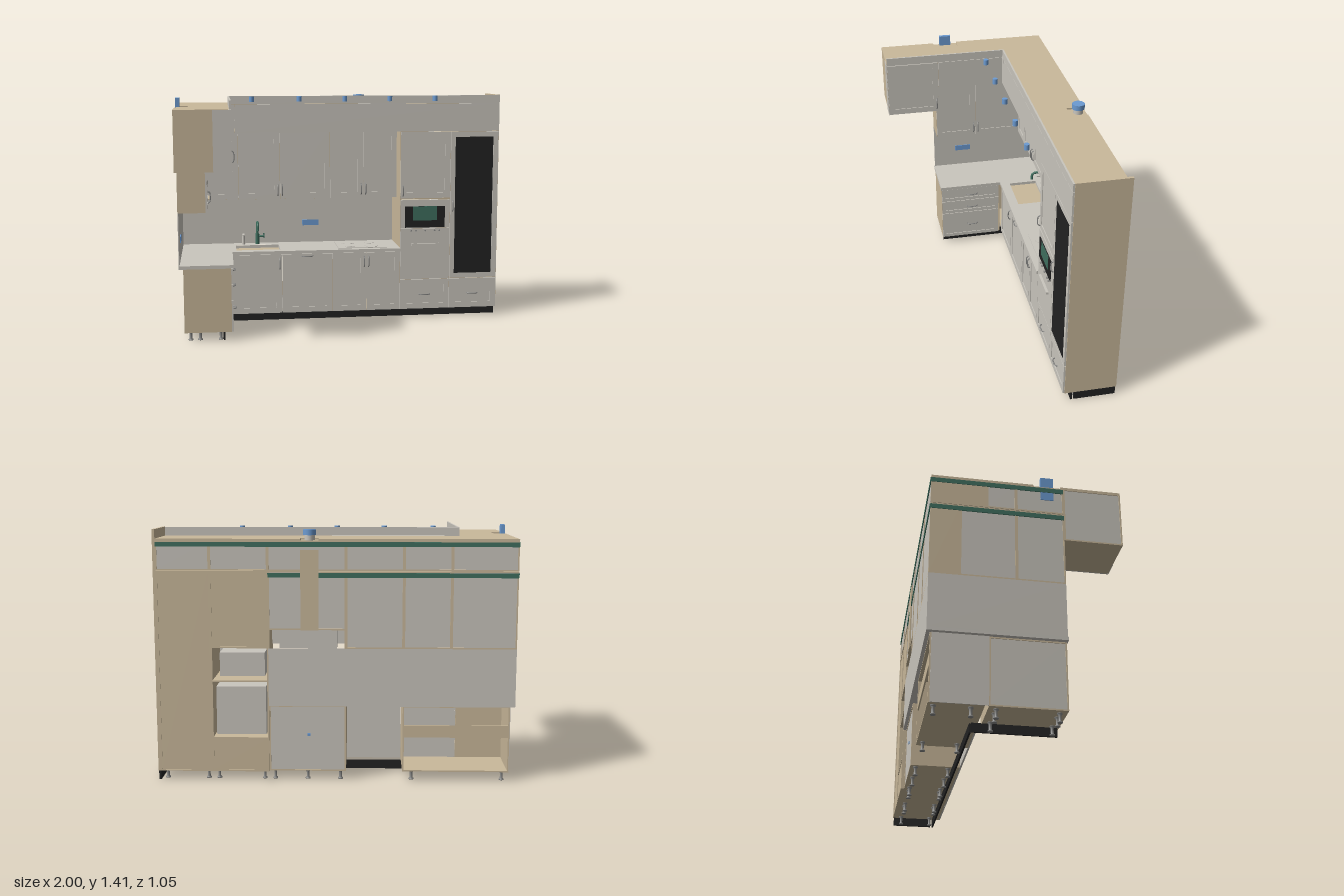
import * as THREE from 'three';

const mat = (name, color) => {
  const m = new THREE.MeshStandardMaterial({ color });
  m.name = name;
  return m;
};
const paint = mat('grey paint', 0xcac6be);
const wood = mat('light wood', 0xcab99b);
const black = mat('black', 0x222222);
const blue = mat('blue fittings', 0x6c9bd2);
const green = mat('dark green', 0x3f6f5f);
const metal = mat('metal', 0x8c8c8a);

function add(parent, name, geo, m, x = 0, y = 0, z = 0) {
  const mesh = new THREE.Mesh(geo, m);
  mesh.name = name;
  mesh.position.set(x, y, z);
  parent.add(mesh);
  return mesh;
}

// Box given by its limits on each axis
function box(parent, name, m, x0, x1, y0, y1, z0, z1) {
  return add(parent, name, new THREE.BoxGeometry(x1 - x0, y1 - y0, z1 - z0), m,
    (x0 + x1) / 2, (y0 + y1) / 2, (z0 + z1) / 2);
}

// Flat slab from plan points [x, z], with optional rectangular hole
function slab(parent, name, m, pts, y0, y1, hole) {
  const v = (p) => p.map(([x, z]) => new THREE.Vector2(x, -z));
  const shape = new THREE.Shape(v(pts));
  if (hole) shape.holes.push(new THREE.Path(v(hole)));
  const geo = new THREE.ExtrudeGeometry(shape, { depth: y1 - y0, bevelEnabled: false });
  geo.rotateX(-Math.PI / 2);
  add(parent, name, geo, m, 0, y0, 0);
}

// Bow handle
const bow = new THREE.CatmullRomCurve3([[-0.035, 0], [-0.027, 0.013], [0, 0.016], [0.027, 0.013], [0.035, 0]]
  .map(([x, z]) => new THREE.Vector3(x, 0, z)));
const bowGeo = new THREE.TubeGeometry(bow, 12, 0.0035, 6);
function handle(parent, x, y, z, vertical) {
  const h = add(parent, 'handle', bowGeo, metal, x, y, z);
  if (vertical) h.rotation.z = Math.PI / 2;
}

// Framed door or drawer front with recessed panel; z is its back plane
function front(parent, name, x0, x1, y0, y1, z, w = 0.035, panel = paint) {
  const g = 0.0015, W = x1 - x0 - 2 * g, H = y1 - y0 - 2 * g;
  const rect = (C, a, b) => {
    const s = new C();
    s.moveTo(-a, -b); s.lineTo(a, -b); s.lineTo(a, b); s.lineTo(-a, b); s.closePath();
    return s;
  };
  const s = rect(THREE.Shape, W / 2, H / 2);
  s.holes.push(rect(THREE.Path, W / 2 - w, H / 2 - w));
  const cx = (x0 + x1) / 2, cy = (y0 + y1) / 2;
  add(parent, name + 'Frame', new THREE.ExtrudeGeometry(s, { depth: 0.01, bevelEnabled: false }), paint, cx, cy, z);
  box(parent, name + 'Panel', panel, x0 + w, x1 - w, y0 + w, y1 - w, z, z + 0.005);
}

// Cabinet carcass, with optional inset back panel
function carcass(parent, name, x0, x1, y0, y1, z0, z1, back) {
  const t = 0.008, g = new THREE.Group();
  g.name = name;
  parent.add(g);
  box(g, 'side', wood, x0, x0 + t, y0, y1, z0, z1);
  box(g, 'side', wood, x1 - t, x1, y0, y1, z0, z1);
  box(g, 'bottom', wood, x0 + t, x1 - t, y0, y0 + t, z0, z1);
  box(g, 'top', wood, x0 + t, x1 - t, y1 - t, y1, z0, z1);
  if (back) box(g, 'back', back, x0 + t, x1 - t, y0 + t, y1 - t, z0 + 0.004, z0 + 0.008);
  return g;
}

const legGeo = new THREE.LatheGeometry([[0, 0], [0.014, 0], [0.014, 0.006], [0.008, 0.01], [0.008, 0.042], [0.014, 0.045], [0.014, 0.052]]
  .map(([r, y]) => new THREE.Vector2(r, y)), 12);

export function createModel() {
  const kitchen = new THREE.Group();
  kitchen.name = 'kitchen';
  const main = new THREE.Group();
  main.name = 'mainRun';
  // Side run: local x is -z, local z is x
  const side = new THREE.Group();
  side.name = 'sideRun';
  side.rotation.y = Math.PI / 2;
  kitchen.add(main, side);

  // Main base cabinets
  const corner = carcass(main, 'sinkCabinet', -0.975, -0.378, 0.052, 0.43, -0.5, -0.22);
  box(corner, 'backRail', wood, -0.967, -0.386, 0.25, 0.32, -0.5, -0.492);
  carcass(main, 'hobCabinet', -0.06, 0.37, 0.052, 0.43, -0.5, -0.22, paint);
  const baseX = [-0.69, -0.378, -0.06, 0.155, 0.37];
  for (let i = 0; i < 4; i++) front(main, 'baseDoor', baseX[i], baseX[i + 1], 0.052, 0.428, -0.22);
  [-0.392, 0.14, 0.168].forEach((x) => handle(main, x, 0.37, -0.21, true));
  handle(main, -0.22, 0.413, -0.21);

  // Main wall cabinets
  const wallX = [-1, -0.64, -0.378, -0.06, 0.37];
  for (let i = 0; i < 4; i++)
    carcass(main, 'wallCabinet', wallX[i], wallX[i + 1], i === 3 ? 0.86 : 0.757, 1.185, -0.52, -0.36, paint);
  const doorX = [-0.82, -0.64, -0.378, -0.06, 0.155, 0.37];
  for (let i = 0; i < 5; i++) front(main, 'wallDoor', doorX[i], doorX[i + 1], 0.757, 1.185, -0.36);
  [-0.392, -0.364, 0.14, 0.168].forEach((x) => handle(main, x, 0.815, -0.35, true));
  box(main, 'hood', paint, -0.01, 0.31, 0.752, 0.86, -0.48, -0.365);
  box(main, 'hoodDuctCasing', wood, 0.09, 0.19, 0.86, 1.3, -0.525, -0.44);
  [-0.06, 0.362].forEach((x) => box(main, 'hoodCheek', wood, x, x + 0.008, 0.757, 0.86, -0.52, -0.36));

  // Top row of the main run
  const topX = [-1, -0.64, -0.378, -0.06, 0.37, 0.69, 0.985];
  for (let i = 0; i < 6; i++)
    carcass(main, 'topCabinet', topX[i], topX[i + 1], 1.187, 1.352, -0.52, -0.22, paint);
  box(main, 'topFascia', paint, -0.658, 0.998, 1.187, 1.36, -0.22, -0.21);
  box(main, 'topFascia', paint, -0.69, -0.661, 1.187, 1.36, -0.22, -0.21);
  box(main, 'cornice', paint, -0.69, 0.998, 1.362, 1.41, -0.22, -0.21);

  // Oven column
  carcass(main, 'columnDrawerBox', 0.37, 0.69, 0.052, 0.25, -0.52, -0.22, wood);
  carcass(main, 'columnUpper', 0.37, 0.69, 0.757, 1.185, -0.52, -0.22, wood);
  [0.37, 0.682].forEach((x) => box(main, 'columnSide', wood, x, x + 0.008, 0.25, 0.757, -0.52, -0.22));
  box(main, 'columnShelf', wood, 0.378, 0.682, 0.567, 0.575, -0.52, -0.22);
  box(main, 'ovenBody', paint, 0.39, 0.67, 0.255, 0.53, -0.47, -0.22);
  box(main, 'microwaveBody', paint, 0.4, 0.655, 0.58, 0.715, -0.42, -0.22);
  box(main, 'ovenFront', paint, 0.372, 0.688, 0.247, 0.572, -0.22, -0.21);
  box(main, 'ovenHandle', paint, 0.44, 0.62, 0.463, 0.478, -0.21, -0.195);
  for (const x of [0.44, 0.47, 0.53, 0.59, 0.62])
    add(main, 'ovenKnob', new THREE.CylinderGeometry(0.005, 0.005, 0.01, 10).rotateX(Math.PI / 2), metal, x, 0.56, -0.206);
  box(main, 'microwaveSurround', paint, 0.372, 0.688, 0.575, 0.755, -0.22, -0.21);
  box(main, 'microwaveFront', black, 0.4, 0.655, 0.58, 0.715, -0.21, -0.205);
  box(main, 'microwaveScreen', green, 0.45, 0.605, 0.625, 0.715, -0.205, -0.203);
  front(main, 'columnDoor', 0.37, 0.69, 0.765, 1.185, -0.22);
  handle(main, 0.385, 0.815, -0.21, true);
  front(main, 'columnDrawer', 0.37, 0.69, 0.052, 0.245, -0.22);
  handle(main, 0.53, 0.148, -0.21);

  // Tall unit with dark inset and end panel
  carcass(main, 'tallCabinet', 0.69, 0.985, 0.052, 1.185, -0.52, -0.22, wood);
  front(main, 'tallDoor', 0.69, 0.998, 0.247, 1.185, -0.22, 0.033, black);
  box(main, 'tallInset', black, 0.72, 0.96, 0.28, 1.15, -0.212, -0.209);
  handle(main, 0.705, 0.715, -0.21, true);
  front(main, 'tallDrawer', 0.69, 0.998, 0.052, 0.245, -0.22);
  handle(main, 0.84, 0.148, -0.21);
  box(main, 'endPanel', wood, 0.985, 1, 0.052, 1.412, -0.52, -0.22);

  // Side run base with three drawers
  carcass(side, 'drawerCabinet', -0.2, 0.2, 0.052, 0.43, -0.975, -0.7, paint);
  box(side, 'cornerBack', paint, 0.2, 0.492, 0.052, 0.43, -0.979, -0.975);
  [0.052, 0.24, 0.335].forEach((y, i) => {
    const y1 = [0.24, 0.335, 0.428][i];
    front(side, 'drawer', -0.2, 0.19, y, y1, -0.7, 0.022);
    handle(side, 0.005, [0.148, 0.288, 0.383][i], -0.69);
  });

  // Side run wall cabinets
  [[-0.2, 0.06], [0.06, 0.36]].forEach(([a, b]) => {
    carcass(side, 'sideWallCabinet', a, b, 0.757, 1.185, -1, -0.84, paint);
    front(side, 'sideWallDoor', a, b, 0.757, 1.185, -0.84);
    carcass(side, 'sideTopCabinet', a, Math.min(b, 0.22), 1.187, 1.352, -1, -0.7, paint);
  });
  [0.045, 0.075].forEach((x) => handle(side, x, 0.815, -0.83, true));
  box(side, 'sideFascia', paint, -0.198, 0.22, 1.187, 1.36, -0.7, -0.69);
  box(side, 'sideCornice', paint, -0.52, 0.22, 1.362, 1.41, -0.7, -0.69);
  carcass(side, 'endWallCabinet', -0.52, -0.2, 1.025, 1.352, -1, -0.7, paint);
  front(side, 'endWallDoor', -0.52, -0.2, 1.025, 1.36, -0.7);
  handle(side, -0.215, 1.08, -0.69, true);
  box(side, 'endFiller', paint, -0.523, -0.52, 1.025, 1.36, -0.79, -0.69);

  // Roof board with service notches
  slab(kitchen, 'roofBoard', wood, [[-1, -0.52], [0.09, -0.52], [0.09, -0.42], [0.19, -0.42], [0.19, -0.52],
    [0.985, -0.52], [0.985, -0.22], [-0.7, -0.22], [-0.7, 0.52], [-1, 0.52], [-1, 0.185], [-0.93, 0.185],
    [-0.93, 0.035], [-1, 0.035]], 1.352, 1.361);

  // Worktop, sink and hob
  slab(kitchen, 'worktop', paint, [[-1, -0.52], [0.37, -0.52], [0.37, -0.2], [-0.685, -0.2], [-0.685, 0.205], [-1, 0.205]],
    0.43, 0.45, [[-0.66, -0.44], [-0.385, -0.44], [-0.385, -0.26], [-0.66, -0.26]]);
  box(kitchen, 'sinkFloor', paint, -0.665, -0.38, 0.36, 0.365, -0.445, -0.255);
  [-0.665, -0.385].forEach((x) => box(kitchen, 'sinkWall', paint, x, x + 0.005, 0.365, 0.448, -0.445, -0.255));
  [-0.445, -0.26].forEach((z) => box(kitchen, 'sinkWall', paint, -0.66, -0.385, 0.365, 0.448, z, z + 0.005));
  add(kitchen, 'sinkDrain', new THREE.CylinderGeometry(0.018, 0.018, 0.004, 16), metal, -0.52, 0.367, -0.35);
  box(kitchen, 'hob', paint, -0.02, 0.29, 0.45, 0.454, -0.47, -0.24);
  [[0.06, -0.41, 0.045], [0.06, -0.3, 0.033], [0.2, -0.41, 0.033], [0.2, -0.3, 0.045]].forEach(([x, z, r]) =>
    add(kitchen, 'hobRing', new THREE.CylinderGeometry(r, r, 0.002, 24), paint, x, 0.455, z));

  // Tap and soap dispenser
  const spout = new THREE.CatmullRomCurve3([[0.45, -0.475], [0.56, -0.475], [0.592, -0.46], [0.597, -0.42], [0.59, -0.385], [0.55, -0.378]]
    .map(([y, z]) => new THREE.Vector3(-0.52, y, z)));
  add(kitchen, 'tapSpout', new THREE.TubeGeometry(spout, 28, 0.008, 10), green);
  add(kitchen, 'tapBase', new THREE.CylinderGeometry(0.012, 0.012, 0.07, 12), green, -0.52, 0.485, -0.475);
  add(kitchen, 'tapLever', new THREE.CylinderGeometry(0.007, 0.007, 0.045, 10).rotateZ(Math.PI / 2), green, -0.497, 0.5, -0.475);
  box(kitchen, 'tapLeverEnd', green, -0.482, -0.474, 0.487, 0.52, -0.479, -0.471);
  add(kitchen, 'soapDispenser', new THREE.CylinderGeometry(0.008, 0.011, 0.065, 12), paint, -0.61, 0.482, -0.475);
  box(kitchen, 'soapNozzle', paint, -0.616, -0.604, 0.51, 0.518, -0.48, -0.435);

  // Splashbacks and sockets
  box(main, 'splashback', paint, -1, 0.37, 0.45, 0.757, -0.52, -0.515);
  box(side, 'sideSplashback', paint, -0.2, 0.515, 0.45, 0.757, -1, -0.995);
  for (let i = 0; i < 3; i++) {
    box(main, 'socket', blue, -0.225 + i * 0.035, -0.19 + i * 0.035, 0.56, 0.596, -0.515, -0.51);
    box(side, 'sideSocket', blue, -0.055 + i * 0.035, -0.02 + i * 0.035, 0.56, 0.596, -0.995, -0.99);
  }
  box(main, 'rearSocket', blue, 0.14, 0.155, 0.255, 0.27, -0.5, -0.494);

  // Hanging rails
  box(main, 'topRail', green, -1, 0.985, 1.318, 1.344, -0.524, -0.519);
  box(main, 'lowerRail', green, -1, 0.37, 1.15, 1.176, -0.524, -0.519);
  box(side, 'sideTopRail', green, -0.2, 0.52, 1.318, 1.344, -1.003, -0.998);
  box(side, 'sideLowerRail', green, -0.2, 0.52, 1.15, 1.176, -1.003, -0.998);

  // Ceiling spots, vent and junction box
  for (const x of [-0.56, -0.275, 0, 0.275, 0.555])
    add(kitchen, 'spotlight', new THREE.CylinderGeometry(0.015, 0.015, 0.032, 20), blue, x, 1.396, -0.08);
  add(kitchen, 'ventCap', new THREE.CylinderGeometry(0.036, 0.036, 0.03, 24), blue, 0.14, 1.395, -0.475);
  add(kitchen, 'ventPipe', new THREE.CylinderGeometry(0.028, 0.028, 0.1, 24), paint, 0.14, 1.33, -0.475);
  box(kitchen, 'junctionBox', blue, -1, -0.977, 1.27, 1.412, 0.075, 0.145);

  // Plinths and legs
  box(kitchen, 'plinth', black, -0.74, 0.998, 0, 0.05, -0.265, -0.255);
  box(kitchen, 'sidePlinth', black, -0.75, -0.74, 0, 0.05, -0.255, 0.19);
  box(kitchen, 'endPlinth', black, 0.985, 0.998, 0, 0.05, -0.515, -0.275);
  for (const x of [-0.94, -0.43, -0.03, 0.155, 0.34, 0.4, 0.66, 0.72, 0.955])
    for (const z of [-0.47, -0.285]) add(kitchen, 'leg', legGeo, metal, x, 0, z);
  for (const x of [-0.94, -0.885, -0.765])
    for (const z of [-0.16, 0.16]) add(kitchen, 'leg', legGeo, metal, x, 0, z);

  return kitchen;
}
